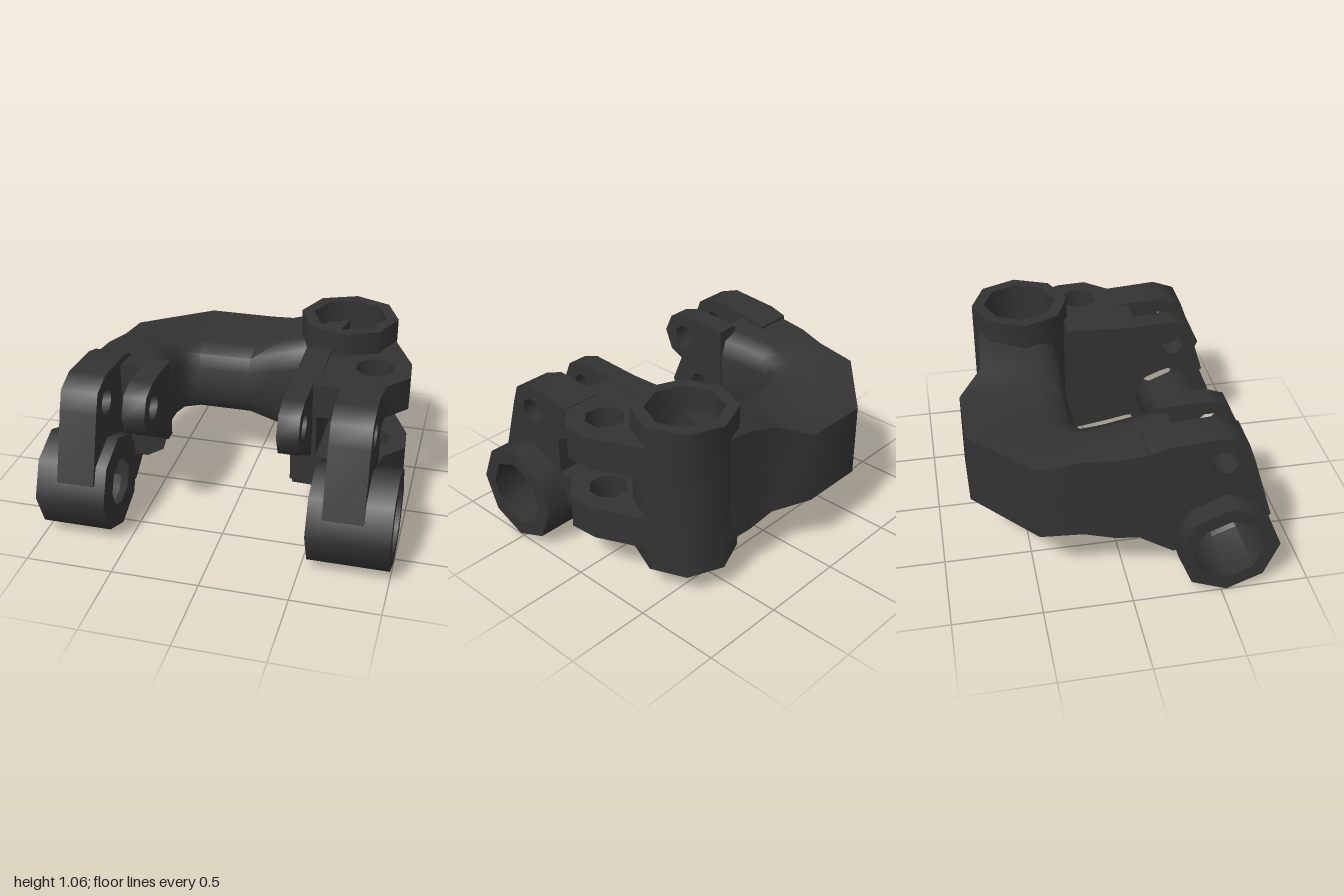
import * as THREE from 'three';
import { toCreasedNormals } from 'three/addons/utils/BufferGeometryUtils.js';

const darkIron = new THREE.MeshStandardMaterial({ color: 0x333333 });
darkIron.name = 'darkIron';
const CREASE = 0.9;

export function createModel() {
  const model = new THREE.Group();
  model.name = 'bracket';

  const add = (name, geometry) => {
    const mesh = new THREE.Mesh(toCreasedNormals(geometry, CREASE), darkIron);
    mesh.name = name;
    model.add(mesh);
    return mesh;
  };

  // Shape with optional eight-sided holes [x, y, radius]
  const makeShape = (points, holes = []) => {
    const shape = new THREE.Shape(points.map(([x, y]) => new THREE.Vector2(x, y)));
    for (const [x, y, r] of holes) {
      const ring = [];
      for (let i = 0; i < 8; i++) {
        const a = i * Math.PI / 4 + Math.PI / 8;
        ring.push(new THREE.Vector2(x + r * Math.cos(a), y + r * Math.sin(a)));
      }
      shape.holes.push(new THREE.Path(ring));
    }
    return shape;
  };

  // Side profile given as [z, y], extruded from x0 to x1
  const sidePlate = (name, x0, x1, profile, holes = []) => {
    const shape = makeShape(profile.map(([z, y]) => [-z, y]), holes.map(([z, y, r]) => [-z, y, r]));
    const g = new THREE.ExtrudeGeometry(shape, { depth: x1 - x0, bevelEnabled: false });
    g.rotateY(Math.PI / 2).translate(x0, 0, 0);
    return add(name, g);
  };

  // Plan outline given as [x, z], extruded from y0 to y1
  const planPlate = (name, y0, y1, outline, holes = []) => {
    const g = new THREE.ExtrudeGeometry(makeShape(outline, holes), { depth: y1 - y0, bevelEnabled: false });
    g.rotateX(Math.PI / 2).translate(0, y1, 0);
    return add(name, g);
  };

  // Eight-sided hollow sleeve; bore is the inner wall from top to bottom
  const sleeve = (r, low, high, bore) => {
    const pts = [[r, low], [r, high], ...bore, [r, low]];
    return new THREE.LatheGeometry(pts.map(([x, y]) => new THREE.Vector2(x, y)), 8);
  };

  // Upright sleeve
  add('uprightSleeve', sleeve(0.287, 0.15, 1.06, [[0.215, 1.06], [0.215, 0.15]])
    .translate(0.55, 0, -0.395));

  // Cross bushings on the two forks
  add('leftBushing', sleeve(0.287, 0.54, 1.0, [[0.2, 1.0], [0.2, 0.54]])
    .rotateZ(-Math.PI / 2).translate(0, 0.288, 0.53));
  add('rightBushing', sleeve(0.287, -1.0, -0.597, [[0.14, -0.597], [0.2, -0.66], [0.2, -1.0]])
    .rotateZ(-Math.PI / 2).translate(0, 0.288, 0.53));

  // Curved arm: [outer x, outer z, inner x, inner z, low y, high y]
  const stations = [
    [0.53, -0.64, 0.44, -0.2, 0.26, 0.935],
    [0.33, -0.67, 0.33, -0.2, 0.28, 0.925],
    [0.15, -0.68, 0.15, -0.2, 0.31, 0.87],
    [-0.02, -0.82, -0.02, -0.2, 0.37, 0.8],
    [-0.41, -0.82, -0.33, -0.2, 0.37, 0.8],
    [-0.8, -0.48, -0.4, -0.17, 0.37, 0.82],
    [-0.81, -0.24, -0.43, -0.11, 0.36, 0.85],
    [-0.85, -0.07, -0.44, -0.06, 0.34, 0.87],
    [-0.87, 0.27, -0.385, 0.27, 0.32, 0.9],
  ];
  // Section: fraction from outer to inner edge, fraction of height
  const section = [[0, 0], [0, 1], [0.72, 1], [0.93, 0.93], [1, 0.75], [1, 0.3], [0.93, 0.1], [0.72, 0]];
  const positions = [], index = [], n = section.length;
  for (const [ox, oz, ix, iz, lo, hi] of stations) {
    for (const [u, v] of section) {
      positions.push(ox + (ix - ox) * u, lo + (hi - lo) * v, oz + (iz - oz) * u);
    }
  }
  for (let i = 0; i < stations.length - 1; i++) {
    for (let j = 0; j < n; j++) {
      const a = i * n + j, b = i * n + (j + 1) % n;
      index.push(a, a + n, b + n, a, b + n, b);
    }
  }
  const last = (stations.length - 1) * n;
  for (let j = 1; j < n - 1; j++) {
    index.push(0, j, j + 1, last, last + j + 1, last + j);
  }
  const armGeometry = new THREE.BufferGeometry();
  armGeometry.setAttribute('position', new THREE.Float32BufferAttribute(positions, 3));
  armGeometry.setIndex(index);
  add('curvedArm', armGeometry);

  // Fork plates: a long one down to the bushing and a short lug beside it
  const pin = [[0.51, 0.79, 0.075]];
  const bushingArc = [[0.79, 0.4], [0.74, 0.36], [0.53, 0.52], [0.36, 0.4]];
  const longPlate = [[0.2, 0.93], [0.5, 0.95], [0.63, 0.9], [0.67, 0.79], ...bushingArc];
  const shortLug = [[0.2, 0.93], [0.51, 0.94], [0.62, 0.9], [0.67, 0.79], [0.62, 0.67],
    [0.51, 0.62], [0.36, 0.58], [0.27, 0.45], [0.2, 0.45]];
  sidePlate('rightForkPlate', -0.873, -0.66, [...longPlate, [0.27, 0.32], [0.1, 0.34], [0.1, 0.9]], pin);
  sidePlate('rightForkLug', -0.515, -0.385, shortLug, pin);
  sidePlate('leftForkPlate', 0.625, 0.85, [...longPlate, [0.295, 0.4], [0.295, 0.7], [0.2, 0.73]], pin);
  sidePlate('leftForkLug', 0.345, 0.465, shortLug, pin);

  // Gusset under the curved arm, behind its bushing
  sidePlate('rightGusset', -0.8, -0.6,
    [[0.36, 0.15], [0.265, 0.15], [0.09, 0.265], [0, 0.36], [0.05, 0.45], [0.36, 0.4]]);

  // Web joining the left fork to the upright sleeve
  sidePlate('leftWeb', 0.345, 0.49,
    [[-0.14, 0.23], [-0.14, 0.945], [0.2, 0.93], [0.28, 0.93], [0.28, 0.3], [0.09, 0.265]]);

  // Two drilled flanges bridging the sleeve and the left fork
  const flange = [[0.36, -0.1], [0.55, -0.13], [0.73, -0.21], [0.8, -0.39], [0.83, -0.39], [0.96, -0.1],
    [0.972, 0.07], [0.86, 0.2], [0.85, 0.3], [0.62, 0.295], [0.36, 0.28]];
  for (const [name, low, high] of [['upperFlange', 0.73, 0.925], ['lowerFlange', 0.28, 0.475]]) {
    planPlate(name, low, high, flange, [[0.763, -0.005, 0.11]]);
  }

  return model;
}
